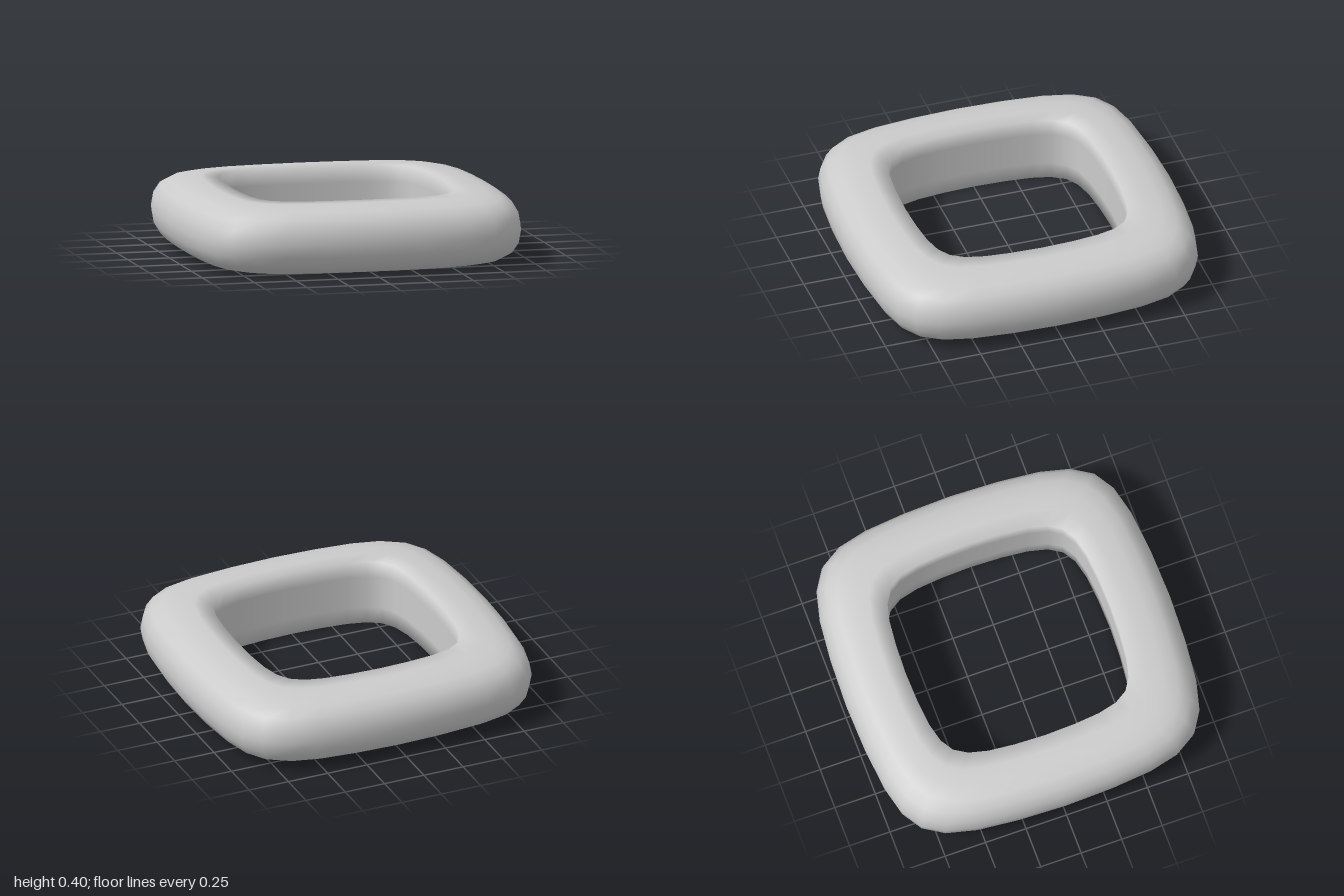
import * as THREE from 'three';

// Half of one side of the rounded-square outline: [along, outward], from middle to corner
const HALF_SIDE = [[0, 1], [0.295, 0.99], [0.543, 0.966], [0.722, 0.922], [0.845, 0.845]];

// Upper half of the cross-section: [radius, height above the middle]
const UPPER = [[0.63, 0.1], [0.63, 0.2], [0.725, 0.2], [0.815, 0.194],
  [0.893, 0.175], [0.952, 0.1375], [0.988, 0.075]];

// Full closed outline, made by turning one side four times
function makeOutline() {
  const side = [
    ...HALF_SIDE.slice(1).reverse().map(([a, b]) => [-a, b]),
    ...HALF_SIDE.slice(0, -1),
  ];
  const outline = [];
  for (let q = 0; q < 4; q++) {
    for (const [a, b] of side) {
      let x = a, z = b;
      for (let i = 0; i < q; i++) [x, z] = [z, -x];
      outline.push([x, z]);
    }
  }
  return outline;
}

// Full closed cross-section: over the top, round the outside, back under and up the inner wall
function makeSection() {
  const lower = UPPER.map(([r, h]) => [r, -h]).reverse();
  return [...UPPER, [1, 0], ...lower, [0.63, 0]];
}

// Sweep the section round the outline, with shared vertices for smooth shading
function makeRing() {
  const outline = makeOutline(), section = makeSection();
  const n = outline.length, m = section.length;
  const positions = [], indices = [];
  outline.forEach(([x, z], i) => {
    section.forEach(([r, h], j) => {
      positions.push(x * r, 0.2 + h, z * r);
      const a = i * m + j;
      const b = i * m + (j + 1) % m;
      const c = ((i + 1) % n) * m + j;
      const d = ((i + 1) % n) * m + (j + 1) % m;
      indices.push(a, b, c, c, b, d);
    });
  });
  const geometry = new THREE.BufferGeometry();
  geometry.setAttribute('position', new THREE.Float32BufferAttribute(positions, 3));
  geometry.setIndex(indices);
  geometry.computeVertexNormals();
  return geometry;
}

export function createModel() {
  const group = new THREE.Group();
  group.name = 'roundedSquareRing';
  const ring = new THREE.Mesh(makeRing(), new THREE.MeshStandardMaterial({ color: 0xcccccc }));
  ring.name = 'ring';
  group.add(ring);
  return group;
}
